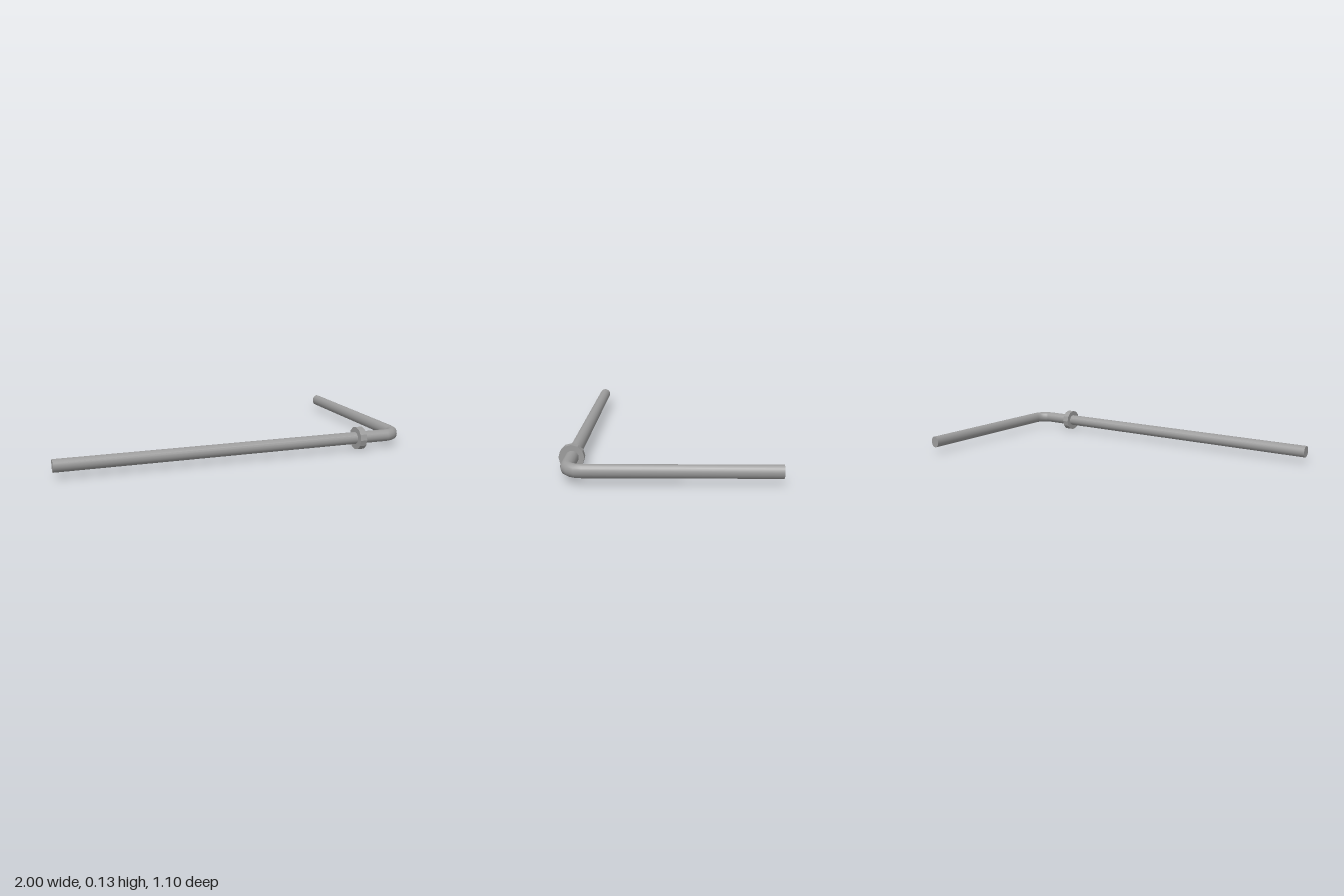
import * as THREE from 'three';

const SIDES = 20;
const R = 0.034;         // rod radius
const LEG_R = 0.028;     // sideways radius of the short arm
const Y = 0.066;         // height of the rod axis
const LEG_END = -0.548;  // z of the short arm's end
const BEND = { x: 0.897, z: 0.4, a: 0.075, b: 0.081, steps: 4 };

// Sweeps an elliptical section along the L-shaped path; the width narrows through the bend.
function rodGeometry() {
  const stations = [{ x: -1, z: BEND.z + BEND.b, angle: 0 }];
  for (let i = 0; i <= BEND.steps; i++) {
    const angle = (i / BEND.steps) * Math.PI / 2;
    stations.push({
      x: BEND.x + BEND.a * Math.sin(angle),
      z: BEND.z + BEND.b * Math.cos(angle),
      angle,
    });
  }
  stations.push({ x: BEND.x + BEND.a, z: LEG_END, angle: Math.PI / 2 });

  const positions = [];
  const indices = [];
  stations.forEach(({ x, z, angle }, i) => {
    const width = THREE.MathUtils.lerp(R, LEG_R, angle / (Math.PI / 2));
    for (let j = 0; j < SIDES; j++) {
      const t = (j / SIDES) * Math.PI * 2;
      const out = width * Math.cos(t);
      positions.push(x + out * Math.sin(angle), Y + R * Math.sin(t), z + out * Math.cos(angle));
      if (i < stations.length - 1) {
        const a = i * SIDES + j;
        const b = i * SIDES + (j + 1) % SIDES;
        indices.push(a, a + SIDES, b, b, a + SIDES, b + SIDES);
      }
    }
  });
  const geometry = new THREE.BufferGeometry();
  geometry.setAttribute('position', new THREE.Float32BufferAttribute(positions, 3));
  geometry.setIndex(indices);
  geometry.computeVertexNormals();
  return geometry;
}

export function createModel() {
  const group = new THREE.Group();
  group.name = 'bentRod';
  const color = 0x9c9c9c;
  const smooth = new THREE.MeshStandardMaterial({ color });
  const faceted = new THREE.MeshStandardMaterial({ color, flatShading: true });

  const add = (name, geometry, material, x = 0, y = 0, z = 0) => {
    const mesh = new THREE.Mesh(geometry, material);
    mesh.name = name;
    mesh.position.set(x, y, z);
    group.add(mesh);
  };

  add('rod', rodGeometry(), smooth);

  // Flat ends of both arms
  add('longArmEnd', new THREE.CircleGeometry(R, SIDES).rotateY(-Math.PI / 2), smooth,
    -1, Y, BEND.z + BEND.b);
  add('shortArmEnd', new THREE.CircleGeometry(R, SIDES).scale(LEG_R / R, 1, 1).rotateY(Math.PI), smooth,
    BEND.x + BEND.a, Y, LEG_END);

  // Twelve-sided collar near the bend
  add('collar', new THREE.CylinderGeometry(0.065, 0.065, 0.039, 12).rotateZ(Math.PI / 2), faceted,
    0.716, 0.065, 0.484);

  return group;
}
